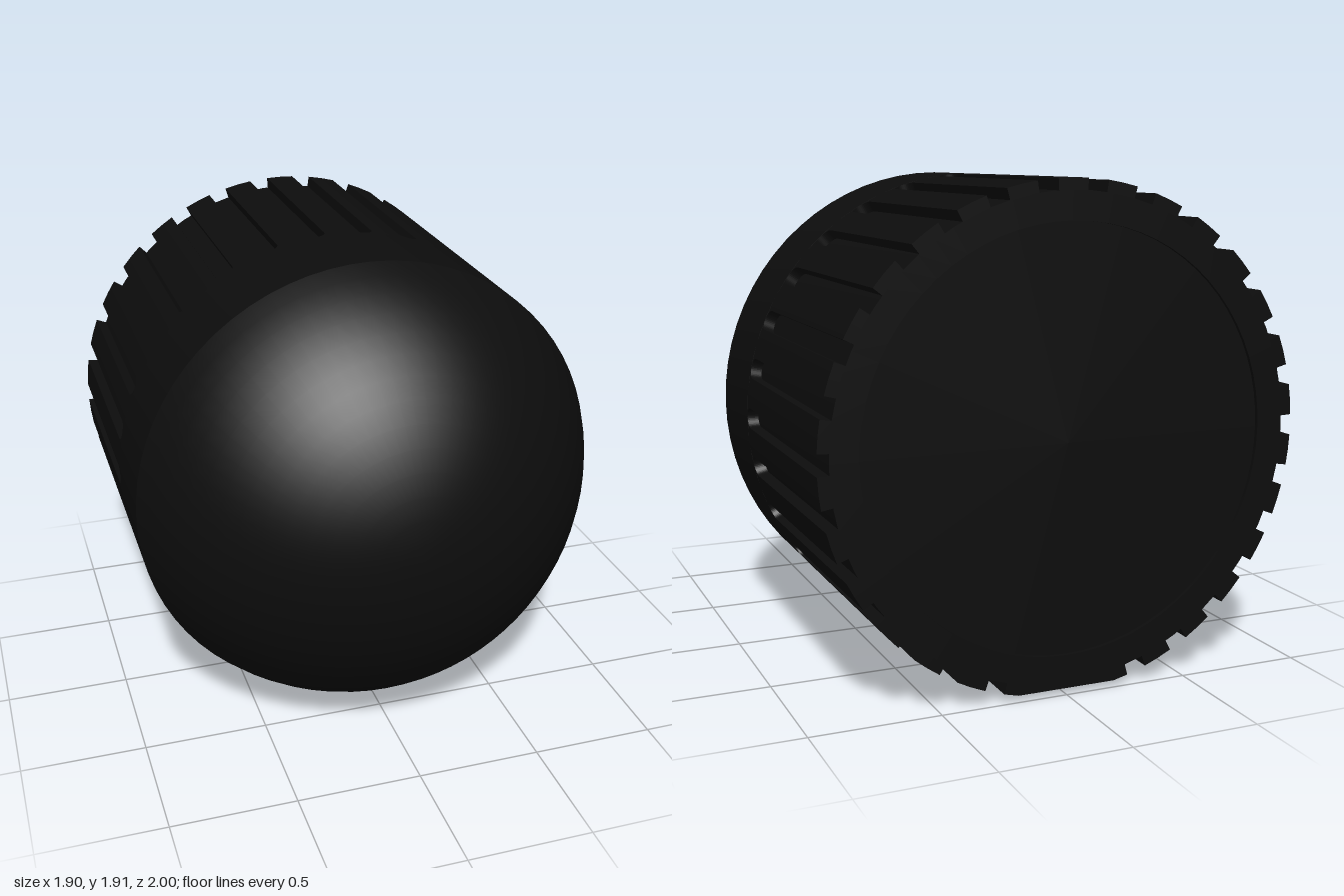
import * as THREE from 'three';
import { toCreasedNormals } from 'three/addons/utils/BufferGeometryUtils.js';

const R = 0.95;          // outer radius
const CY = 0.96;         // height of the axis
const DEPTH = 0.045;     // groove depth
const COUNT = 30;        // groove pitches around the grip
const BACK = -1, STEP = -0.04, SHOULDER = 0.34;

const black = new THREE.MeshStandardMaterial({ color: 0x0d0d0d });
black.name = 'black plastic';

function add(group, name, geometry) {
  const mesh = new THREE.Mesh(geometry, black);
  mesh.name = name;
  group.add(mesh);
  return mesh;
}

// Turned part around the z axis from [radius, z] points
function turned(points) {
  const g = new THREE.LatheGeometry(points.map(([r, z]) => new THREE.Vector2(r, z)), 72);
  g.rotateX(Math.PI / 2);
  return toCreasedNormals(g, 0.3);
}

// Flat wall panel with one round-ended slot, open at the back
function panelGeometry() {
  const h = (R * Math.PI) / COUNT, w = 0.04;
  const s = new THREE.Shape();
  s.moveTo(-h, BACK);
  s.lineTo(-w, BACK);
  s.lineTo(-w, STEP - 0.005 - w);
  s.absarc(0, STEP - 0.005 - w, w, Math.PI, 0, true);
  s.lineTo(w, BACK);
  s.lineTo(h, BACK);
  s.lineTo(h, STEP);
  s.lineTo(-h, STEP);
  s.closePath();
  return new THREE.ExtrudeGeometry(s, { depth: DEPTH, bevelEnabled: false, curveSegments: 10 });
}

// Wrap a panel round the axis, angle measured from the top
function bend(geometry, angle) {
  const p = geometry.attributes.position, n = geometry.attributes.normal;
  for (let i = 0; i < p.count; i++) {
    const a = angle - p.getX(i) / R, r = R - DEPTH + p.getZ(i);
    const sin = Math.sin(a), cos = Math.cos(a);
    const nu = n.getX(i), nv = n.getY(i), nr = n.getZ(i);
    p.setXYZ(i, r * sin, r * cos, p.getY(i));
    n.setXYZ(i, nr * sin - nu * cos, nr * cos + nu * sin, nv);
  }
  return geometry;
}

export function createModel() {
  const model = new THREE.Group();
  model.name = 'domedKnob';
  const body = new THREE.Group();
  body.name = 'body';
  body.position.y = CY;
  model.add(body);

  // Smooth barrel and domed front
  const rise = 1 - SHOULDER;
  const domeR = (R * R + rise * rise) / (2 * rise);
  const half = Math.asin(R / domeR);
  const dome = [];
  for (let i = 0; i <= 14; i++) {
    const t = half * (1 - i / 14);
    dome.push([i === 14 ? 0 : domeR * Math.sin(t), 1 - domeR + domeR * Math.cos(t)]);
  }
  add(body, 'dome', turned(dome));
  add(body, 'barrel', turned([[0.85, STEP], [R, STEP], [R, SHOULDER]]));

  // Core forming the groove floors and the back face
  const floor = R - DEPTH + 0.002;
  add(body, 'core', turned([[0, BACK + 0.015], [0.8, BACK + 0.015], [0.8, BACK], [floor, BACK], [floor, STEP]]));

  // Grooved grip, leaving a gap at the bottom for the flat
  const grip = new THREE.Group();
  grip.name = 'grip';
  body.add(grip);
  for (let k = 0; k < COUNT; k++) {
    if (k === COUNT / 2 - 1 || k === COUNT / 2) continue;
    add(grip, 'groovedPanel', bend(panelGeometry(), ((k + 0.5) * 2 * Math.PI) / COUNT));
  }

  // Flat underside
  const a = (2 * Math.PI) / COUNT;
  const flat = add(body, 'flatUnderside', new THREE.BoxGeometry(2 * R * Math.sin(a), 0.06, STEP - BACK));
  flat.position.set(0, -R * Math.cos(a) + 0.03, (STEP + BACK) / 2);

  // Small raised ring under the barrel
  const ring = add(model, 'indexRing', new THREE.TorusGeometry(0.1, 0.008, 8, 32));
  ring.rotation.x = Math.PI / 2;
  ring.position.set(0, 0.012, 0.12);

  return model;
}
